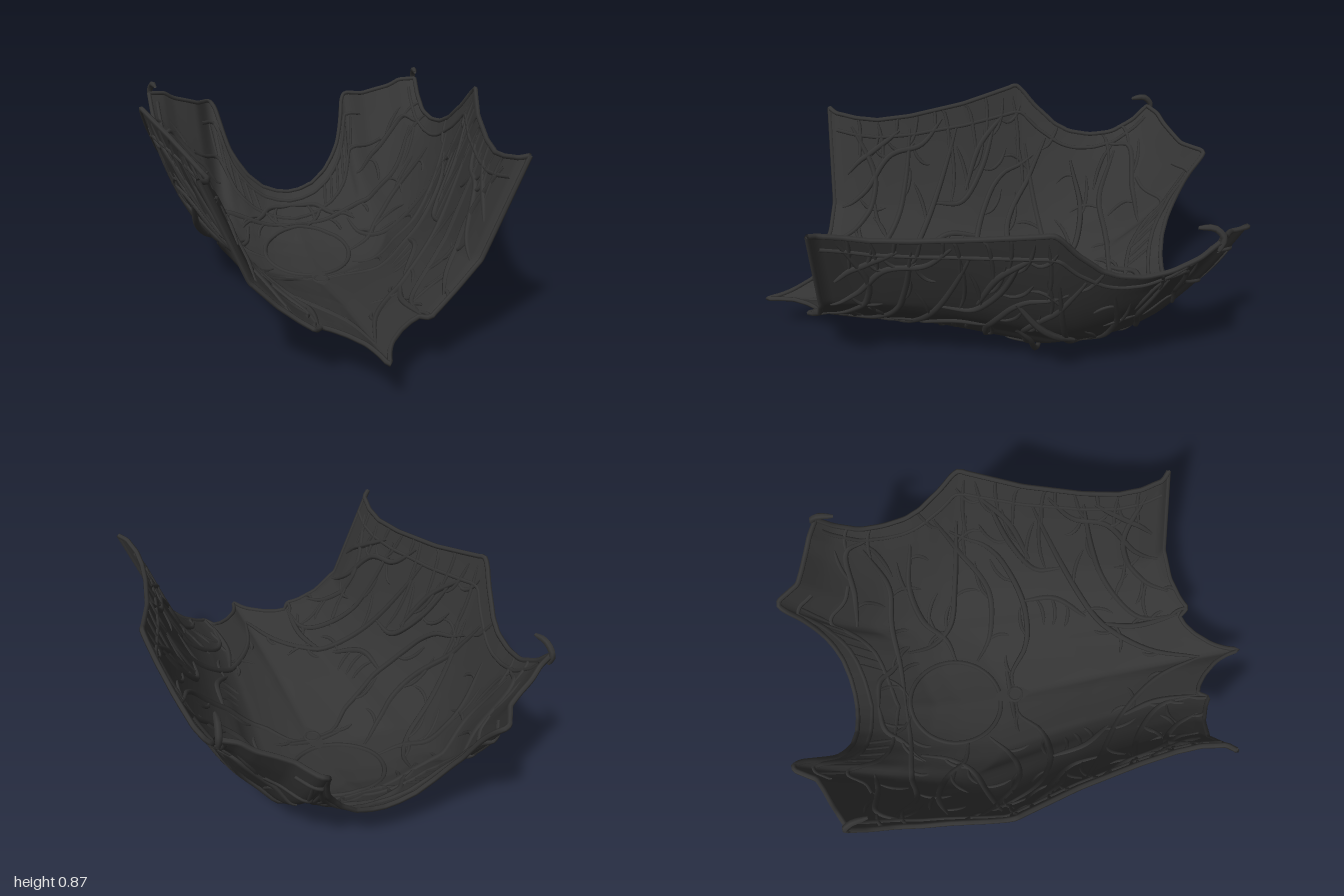
import * as THREE from 'three';

const iron = new THREE.MeshStandardMaterial({ color: 0x343434, side: THREE.DoubleSide });
iron.name = 'darkIron';

// Boundary lines of one half of the plate
const keel = [[1, .18], [.75, .16], [.4, .12], [.1, .065], [-.05, .035], [-.15, .04], [-.3, .05], [-.42, .07], [-.6, .135], [-.77, .215]]; // z, y
const side = [[.72, .62, .825], [.69, .59, .81], [.6, .572, .79], [.5, .575, .775], [.35, .6, .78], [.1, .66, .81], [-.05, .71, .84], [-.17, .75, .865],
  [-.25, .725, .77], [-.35, .695, .68], [-.42, .68, .645], [-.52, .67, .63], [-.62, .66, .645], [-.72, .665, .7], [-.79, .67, .77]]; // z, x, y
const hem = [[0, 1, .18], [.025, .92, .19], [.05, .875, .2], [.1, .815, .21], [.15, .775, .22], [.19, .76, .23], [.22, .8, .24],
  [.27, .77, .265], [.35, .735, .32], [.45, .715, .42], [.62, .72, .825]]; // x, z, y
const neck = [[0, -.77, .22], [.06, -.772, .228], [.13, -.78, .255], [.2, -.797, .315], [.25, -.825, .385], [.285, -.86, .45], [.31, -.905, .54],
  [.328, -.96, .62], [.345, -1, .655], [.375, -.99, .665], [.4, -.95, .67], [.43, -.905, .68], [.48, -.88, .7], [.55, -.85, .725], [.6, -.825, .76], [.67, -.79, .77]]; // x, z, y

// Straight-line lookup of column k in a table sorted by its first column
function look(table, key, k) {
  const dir = Math.sign(table[1][0] - table[0][0]);
  let i = 0;
  while (i < table.length - 2 && (key - table[i + 1][0]) * dir > 0) i++;
  const a = table[i], b = table[i + 1];
  const t = THREE.MathUtils.clamp((key - a[0]) / (b[0] - a[0]), 0, 1);
  return a[k] + (b[k] - a[k]) * t;
}

// Point on the plate: u runs from side to side (-1..1), v from hem to neck (0..1)
function plate(u, v) {
  const a = Math.abs(u);
  const zc = 1 - 1.77 * v, ze = .72 - 1.51 * v;
  // The cross-section is fuller over the chest than at the waist
  const p = Math.pow(a, 2.8 + .45 * Math.exp(-Math.pow((zc + .2) / .38, 2)));
  const hx = .62 * a, nx = .67 * a;
  const z = zc + (ze - zc) * a
    + (1 - v) * (look(hem, hx, 1) - (1 - .28 * a))
    + v * (look(neck, nx, 1) - (-.77 - .02 * a));
  const yc = look(keel, zc, 1), ye = look(side, ze, 2);
  const y = yc + (ye - yc) * p
    + Math.pow(1 - v, 4) * (look(hem, hx, 2) - (.18 + .645 * p))
    + Math.pow(v, 5.5) * (look(neck, nx, 2) - (.215 + .555 * p));
  return new THREE.Vector3(u * look(side, ze, 1), y, z);
}

// Point on the plate above a given x and z
function onPlate(x, z, drop = 0) {
  let u = x / .65, v = (.9 - z) / 1.7;
  for (let i = 0; i < 25; i++) {
    const q = plate(u, v);
    u = THREE.MathUtils.clamp(u + (x - q.x) / .68, -1, 1);
    v = THREE.MathUtils.clamp(v + (q.z - z) / 1.8, 0, 1);
  }
  const q = plate(u, v);
  q.y -= drop;
  return q;
}

function shellGeometry(cols, rows) {
  const pos = [], index = [];
  for (let j = 0; j <= rows; j++) {
    for (let i = 0; i <= cols; i++) {
      const s = i / cols * 2 - 1;
      const u = Math.sign(s) * (1 - Math.pow(1 - Math.abs(s), 1.4));
      pos.push(...plate(u, j / rows).toArray());
      if (i < cols && j < rows) {
        const a = j * (cols + 1) + i, b = a + cols + 1;
        index.push(a, a + 1, b, a + 1, b + 1, b);
      }
    }
  }
  const g = new THREE.BufferGeometry();
  g.setAttribute('position', new THREE.Float32BufferAttribute(pos, 3));
  g.setIndex(index);
  g.computeVertexNormals();
  return g;
}

// Tube through points; taper thins both ends
function cord(points, r, taper = 0, closed = false) {
  const curve = new THREE.CatmullRomCurve3(points, closed, 'centripetal');
  const n = Math.max(8, points.length * 2), sides = 6;
  const g = new THREE.TubeGeometry(curve, n, r, sides, closed);
  const pos = g.attributes.position, q = new THREE.Vector3();
  if (taper) for (let i = 0; i <= n; i++) {
    const c = curve.getPointAt(i / n);
    const k = 1 - taper * Math.pow(Math.abs(2 * i / n - 1), 3);
    for (let j = 0; j <= sides; j++) {
      const id = i * (sides + 1) + j;
      q.fromBufferAttribute(pos, id).sub(c).multiplyScalar(k).add(c);
      pos.setXYZ(id, q.x, q.y, q.z);
    }
  }
  return g;
}

// Vines as x, z paths on the left half
const vines = [
  [.03, -.05, .1, -.05, .22, .04, .38, .05, .55, -.05, .64, -.24],
  [0, -.56, .2, -.56, .37, -.57, .5, -.55, .6, -.63],
  [0, -.68, .12, -.66, .17, -.6, .22, -.55],
  [.2, -.3, .3, -.33, .38, -.42, .5, -.46, .62, -.42],
  [.19, -.2, .3, -.12, .45, -.1, .6, -.22, .67, -.3],
  [.25, -.52, .28, -.4, .36, -.3, .5, -.25, .66, -.2],
  [.35, -.72, .45, -.7, .58, -.7, .63, -.6],
  [0, .82, .07, .6, .23, .4, .45, .25, .62, .13],
  [.2, .75, .22, .58, .35, .45, .48, .38, .58, .35],
  [.23, .4, .19, .55, .2, .74],
  [.56, .62, .47, .52, .36, .6, .3, .72],
  [.42, .68, .44, .58, .52, .45, .56, .3, .62, .2],
  [.45, .25, .47, .12, .56, .02, .66, -.05],
  [.38, .05, .36, .2, .27, .33],
  [.48, .65, .53, .5, .57, .4],
  [.5, .1, .6, .03, .69, -.1],
];

function createModel() {
  const model = new THREE.Group();
  const add = (name, geometry) => {
    const m = new THREE.Mesh(geometry, iron);
    m.name = name;
    model.add(m);
    return m;
  };
  add('breastplate', shellGeometry(110, 96));

  // Rolled rims around all four edges
  const run = (n, f) => Array.from({ length: n + 1 }, (_, i) => f(i / n));
  add('hemRim', cord(run(72, t => plate(t * 2 - 1, 0)), .01));
  add('neckRim', cord(run(72, t => plate(t * 2 - 1, 1)), .011));
  for (const s of [-1, 1]) add('armRim', cord(run(48, t => plate(s, t)), .011));
  // Trim lines that follow the neck and arm edges
  for (const [v, w] of [[.965, .62], [.9, .72]]) add('neckTrim', cord(run(48, t => plate((t * 2 - 1) * w, v)), .01));
  for (const s of [-1, 1]) add('armTrim', cord(run(40, t => plate(s * .95, .02 + t * .96)), .009));

  // Ring on the chest
  add('chestRing', cord(run(31, t => {
    const a = t * Math.PI * 2 * 31 / 32;
    return onPlate(Math.cos(a) * .2, -.33 + Math.sin(a) * .21);
  }), .011, 0, true));

  // Vines with short seeded twigs, mirrored
  let seed = 7;
  const rnd = () => (seed = (seed * 16807) % 2147483647) / 2147483647;
  for (const path of vines) {
    const flat = [];
    for (let i = 0; i < path.length; i += 2) flat.push(new THREE.Vector3(path[i], 0, path[i + 1]));
    const curve = new THREE.CatmullRomCurve3(flat, false, 'centripetal');
    const line = curve.getPoints(14);
    const twigs = [];
    for (let t = .2; t < .95; t += .24) {
      const p = curve.getPoint(t), d = curve.getTangent(t);
      const a = Math.atan2(d.z, d.x) + (rnd() < .5 ? -1 : 1) * (.5 + rnd() * .5), l = .07 + rnd() * .08;
      twigs.push([0, .35, .7, 1].map(k =>
        [p.x + Math.cos(a + k * .5) * l * k, p.z + Math.sin(a + k * .5) * l * k]));
    }
    for (const s of [-1, 1]) {
      add('vine', cord(line.map(p => onPlate(s * p.x, p.z)), .014, .6));
      for (const w of twigs) add('twig', cord(w.map(([x, z]) => onPlate(s * x, z)), .009, .7));
    }
  }

  for (const s of [-1, 1]) {
    // Short slanted ribs between the two neck trims
    for (let i = 0; i < 6; i++) {
      const u = s * (.25 + i * .055);
      add('neckRib', cord([.9, .92, .94, .965].map(v => plate(u + s * (v - .9) * .5, v)), .008, .5));
    }
    // Loose strands standing off the outer face below the chest
    add('strand', cord([onPlate(s * .18, -.2, .01), onPlate(s * .3, -.16, .03), onPlate(s * .4, -.12, .035), onPlate(s * .46, -.06, .03)], .012, .5));
    add('strand', cord([onPlate(s * .44, -.3, .01), onPlate(s * .5, -.22, .03), onPlate(s * .54, -.14, .05), onPlate(s * .56, -.05, .01)], .014, .5));
    // Curled shoulder hook
    add('shoulderHook', cord([[.665, .73, -.79], [.665, .78, -.805], [.655, .82, -.77], [.645, .82, -.71]]
      .map(([x, y, z]) => new THREE.Vector3(s * x, y, z)), .014, .5));
  }

  // Clasp at the low point of the chest
  const stud = add('claspStud', new THREE.ConeGeometry(.035, .05, 12));
  stud.rotation.x = Math.PI;
  stud.scale.z = 2.4;
  stud.position.set(0, .025, -.06);
  const loop = add('claspLoop', new THREE.TorusGeometry(.032, .009, 6, 16));
  loop.rotation.x = Math.PI / 2;
  loop.position.set(0, .045, -.05);
  add('claspBar', cord([onPlate(-.12, -.07), onPlate(0, -.07), onPlate(.12, -.07)], .012, .4));
  return model;
}

export { createModel };
